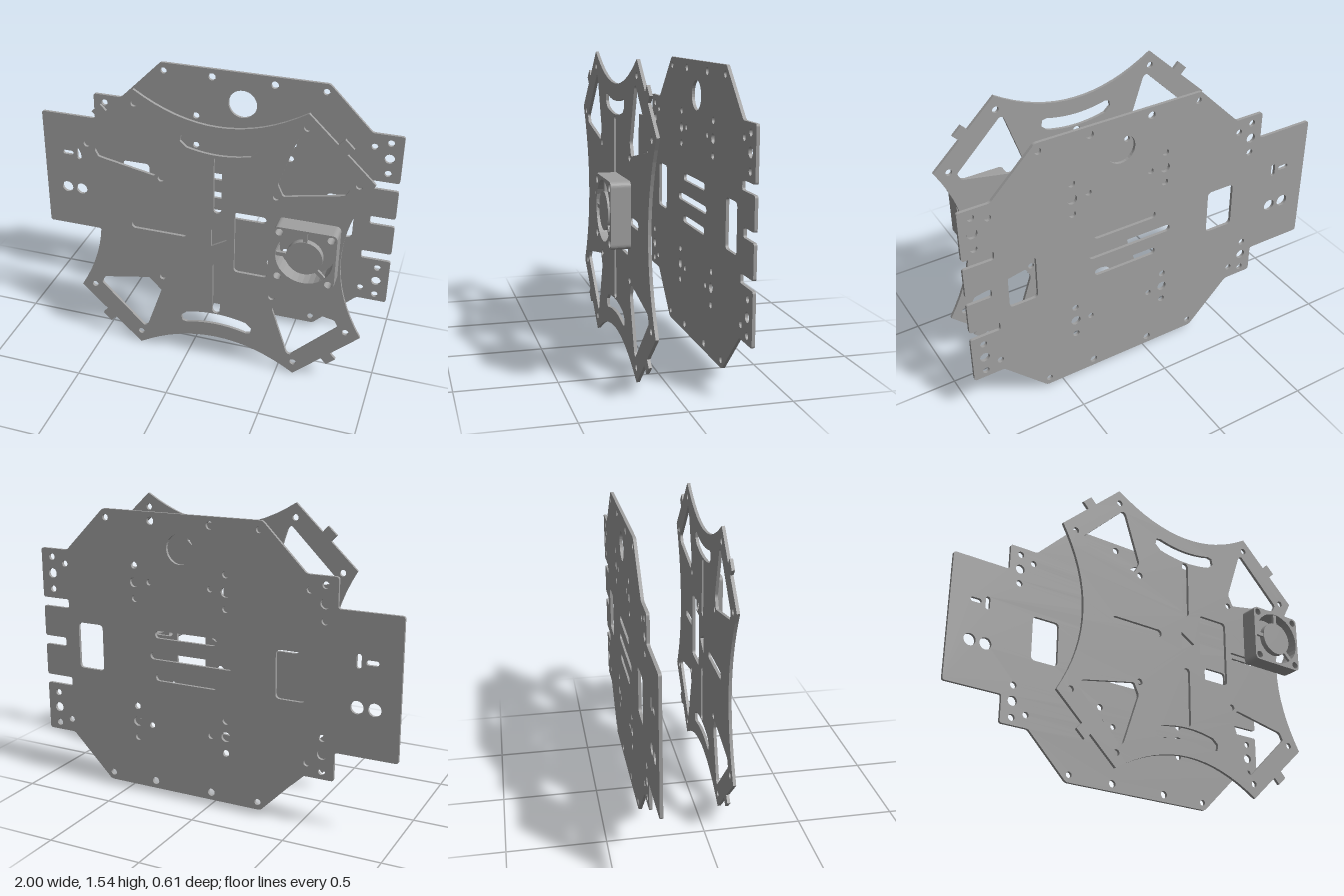
import * as THREE from 'three';

const CX = 0.158, CY = 0.778; // symmetry centre of both plates
const T = 0.016;              // plate thickness

// Closed polygon path with corners rounded by r
function poly(pts, r = 0, PathType = THREE.Path) {
  const path = new PathType();
  const v = pts.map(([x, y]) => new THREE.Vector2(x, y));
  const n = v.length;
  v.forEach((p, i) => {
    const toward = (q) => p.clone().lerp(q, Math.min(0.5, r / p.distanceTo(q)));
    const a = toward(v[(i + n - 1) % n]), b = toward(v[(i + 1) % n]);
    if (i === 0) path.moveTo(a.x, a.y); else path.lineTo(a.x, a.y);
    if (r > 0) path.quadraticCurveTo(p.x, p.y, b.x, b.y);
  });
  path.closePath();
  return path;
}

const rect = (x0, y0, x1, y1, r, PathType) =>
  poly([[x0, y0], [x1, y0], [x1, y1], [x0, y1]], r, PathType);

function circle(x, y, r) {
  const p = new THREE.Path();
  p.absarc(x, y, r, 0, Math.PI * 2, true);
  return p;
}

// Straight slots with round ends
function slotH(x0, x1, y, r) {
  const p = new THREE.Path();
  p.absarc(x1 - r, y, r, -Math.PI / 2, Math.PI / 2, false);
  p.absarc(x0 + r, y, r, Math.PI / 2, Math.PI * 1.5, false);
  p.closePath();
  return p;
}
function slotV(x, y0, y1, r) {
  const p = new THREE.Path();
  p.absarc(x, y1 - r, r, 0, Math.PI, false);
  p.absarc(x, y0 + r, r, Math.PI, Math.PI * 2, false);
  p.closePath();
  return p;
}

// Calls fn for the four mirrored quadrants
function quadrants(fn) {
  for (const sx of [-1, 1]) for (const sy of [-1, 1]) {
    fn((dx, dy) => [CX + sx * dx, CY + sy * dy], sx, sy);
  }
}

function extrude(shape, z, depth, material, name) {
  const geo = new THREE.ExtrudeGeometry(shape, { depth, bevelEnabled: false, curveSegments: 16 });
  geo.translate(0, 0, z);
  const mesh = new THREE.Mesh(geo, material);
  mesh.name = name;
  return mesh;
}

function backPlateShape() {
  const notch = (y, x) => [[1, y - 0.024], [x, y - 0.024], [x, y + 0.024], [1, y + 0.024]];
  const s = poly([
    [-1, 0.425], [-0.68, 0.425], [-0.68, 0.275], [-0.52, 0.275], [-0.29, 0.042], [0.605, 0.042],
    [0.838, 0.275], [1, 0.275],
    ...notch(0.563, 0.84), ...notch(0.782, 0.868), ...notch(0.995, 0.84),
    [1, 1.285], [0.838, 1.285], [0.605, 1.517], [-0.29, 1.517],
    [-0.52, 1.285], [-0.68, 1.285], [-0.68, 1.135], [-1, 1.135],
  ], 0.014, THREE.Shape);
  const h = s.holes;
  // Columns of mounting holes on the side tabs and around the middle
  for (const x of [-0.617, -0.095, 0.426, 0.935]) {
    for (const [dy, r] of [[0.463, 0.018], [0.375, 0.026], [0.29, 0.018]]) {
      h.push(circle(x, CY + dy, r), circle(x, CY - dy, r));
    }
  }
  // Edge holes and extra middle holes
  quadrants((at) => {
    h.push(circle(...at(0.432, 0.695), 0.017), circle(...at(0.167, 0.695), 0.02));
    h.push(circle(...at(0.696, 0.433), 0.017));
  });
  for (const x of [-0.01, 0.338]) for (const dy of [-0.383, 0.383]) h.push(circle(x, CY + dy, 0.016));
  // Cable openings and centre slots
  h.push(circle(0.158, 1.342, 0.077));
  h.push(rect(-0.525, 0.652, -0.367, 0.902, 0.025), rect(0.63, 0.652, 0.782, 0.902, 0.025));
  h.push(slotH(-0.045, 0.31, 0.893, 0.02), slotH(-0.133, 0.34, 0.778, 0.02), slotH(-0.045, 0.31, 0.665, 0.02));
  // Left tab openings
  h.push(circle(-0.875, 0.672, 0.033), circle(-0.787, 0.672, 0.033));
  h.push(slotH(-0.888, -0.825, 0.897, 0.0125), slotV(-0.79, 0.863, 0.935, 0.0125));
  return s;
}

function frontPlateShape() {
  const s = new THREE.Shape();
  const A = 0.435, B = 0.77, C = 0.773, D = 0.45; // corner offsets
  // Diagonal edge with a small square lug in its middle
  const diagonal = (from, to) => {
    const a = new THREE.Vector2(...from), b = new THREE.Vector2(...to);
    const d = b.clone().sub(a).normalize(), out = new THREE.Vector2(d.y, -d.x);
    const mid = a.clone().lerp(b, 0.5);
    for (const [u, w] of [[-0.032, 0], [-0.032, 0.044], [0.032, 0.044], [0.032, 0]]) {
      s.lineTo(mid.x + d.x * u + out.x * w, mid.y + d.y * u + out.y * w);
    }
    s.lineTo(b.x, b.y);
  };
  // Concave sides joined by the diagonals, counter-clockwise
  s.moveTo(CX - A, CY - B);
  s.quadraticCurveTo(CX, CY - 0.492, CX + A, CY - B);
  diagonal([CX + A, CY - B], [CX + C, CY - D]);
  s.quadraticCurveTo(CX + 0.505, CY, CX + C, CY + D);
  diagonal([CX + C, CY + D], [CX + A, CY + B]);
  s.quadraticCurveTo(CX, CY + 0.492, CX - A, CY + B);
  diagonal([CX - A, CY + B], [CX - C, CY + D]);
  s.quadraticCurveTo(CX - 0.505, CY, CX - C, CY - D);
  diagonal([CX - C, CY - D], [CX - A, CY - B]);

  const h = s.holes;
  quadrants((at) => {
    // Screw holes and triangular cut-outs
    for (const [dx, dy] of [[0.432, 0.695], [0.696, 0.433], [0.299, 0.3]]) h.push(circle(...at(dx, dy), 0.017));
    h.push(poly([[0.413, 0.652], [0.393, 0.642], [0.303, 0.372], [0.332, 0.31], [0.636, 0.37], [0.656, 0.41]]
      .map(([dx, dy]) => at(dx, dy)), 0.012));
  });
  for (const sy of [-1, 1]) {
    // Vertical slots and bowed slots
    h.push(sy > 0 ? slotV(CX, 0.93, 1.25, 0.021) : slotV(CX, 0.305, 0.628, 0.021));
    const bow = (x) => 0.512 + 0.8 * x * x;
    const upper = [], lower = [];
    for (let i = 0; i <= 10; i++) {
      const x = -0.165 + 0.033 * i;
      upper.push([CX + x, CY + sy * (bow(x) + 0.034)]);
      lower.unshift([CX + x, CY + sy * (bow(x) - 0.034)]);
    }
    const yEnd = CY + sy * bow(0.19);
    h.push(poly([...upper, [CX + 0.19, yEnd + sy * 0.022], [CX + 0.197, yEnd - sy * 0.012],
      ...lower, [CX - 0.197, yEnd - sy * 0.012], [CX - 0.19, yEnd + sy * 0.022]]));
  }
  // Centre slots, window and direction arrow
  h.push(slotH(-0.308, -0.003, CY, 0.021), slotH(0.457, 0.625, CY, 0.021));
  h.push(rect(0.25, 0.595, 0.43, 0.96, 0.025));
  h.push(poly([[0.127, 0.727], [0.212, CY], [0.127, 0.829]]));
  return s;
}

function createFan(material) {
  const fan = new THREE.Group();
  fan.name = 'fan';
  const H = 0.154, depth = 0.092;
  // Square housing with round bore and corner screw holes
  const s = rect(-H, -H, H, H, 0.028, THREE.Shape);
  s.holes.push(circle(0, 0, 0.142));
  for (const x of [-0.126, 0.126]) for (const y of [-0.126, 0.126]) s.holes.push(circle(x, y, 0.019));
  fan.add(extrude(s, 0, depth, material, 'fanHousing'));
  // Hub held by three struts
  const hub = new THREE.Mesh(new THREE.CylinderGeometry(0.09, 0.09, 0.03, 40), material);
  hub.name = 'fanHub';
  hub.rotation.x = Math.PI / 2;
  hub.position.z = depth - 0.017;
  fan.add(hub);
  for (const angle of [Math.PI / 2, Math.PI, -Math.PI / 4]) {
    const strut = new THREE.Mesh(new THREE.BoxGeometry(0.07, 0.02, 0.015), material);
    strut.name = 'fanStrut';
    strut.position.set(Math.cos(angle) * 0.115, Math.sin(angle) * 0.115, depth - 0.012);
    strut.rotation.z = angle;
    fan.add(strut);
  }
  fan.position.set(0.646, 0.868, 0.214);
  return fan;
}

export function createModel() {
  const model = new THREE.Group();
  model.name = 'plateFrame';
  const grey = new THREE.MeshStandardMaterial({ color: 0xa0a0a0 });
  grey.name = 'grey';
  model.add(extrude(backPlateShape(), -0.307, T, grey, 'backPlate'));
  model.add(extrude(frontPlateShape(), 0.119, T, grey, 'frontPlate'));
  model.add(createFan(grey));
  return model;
}
